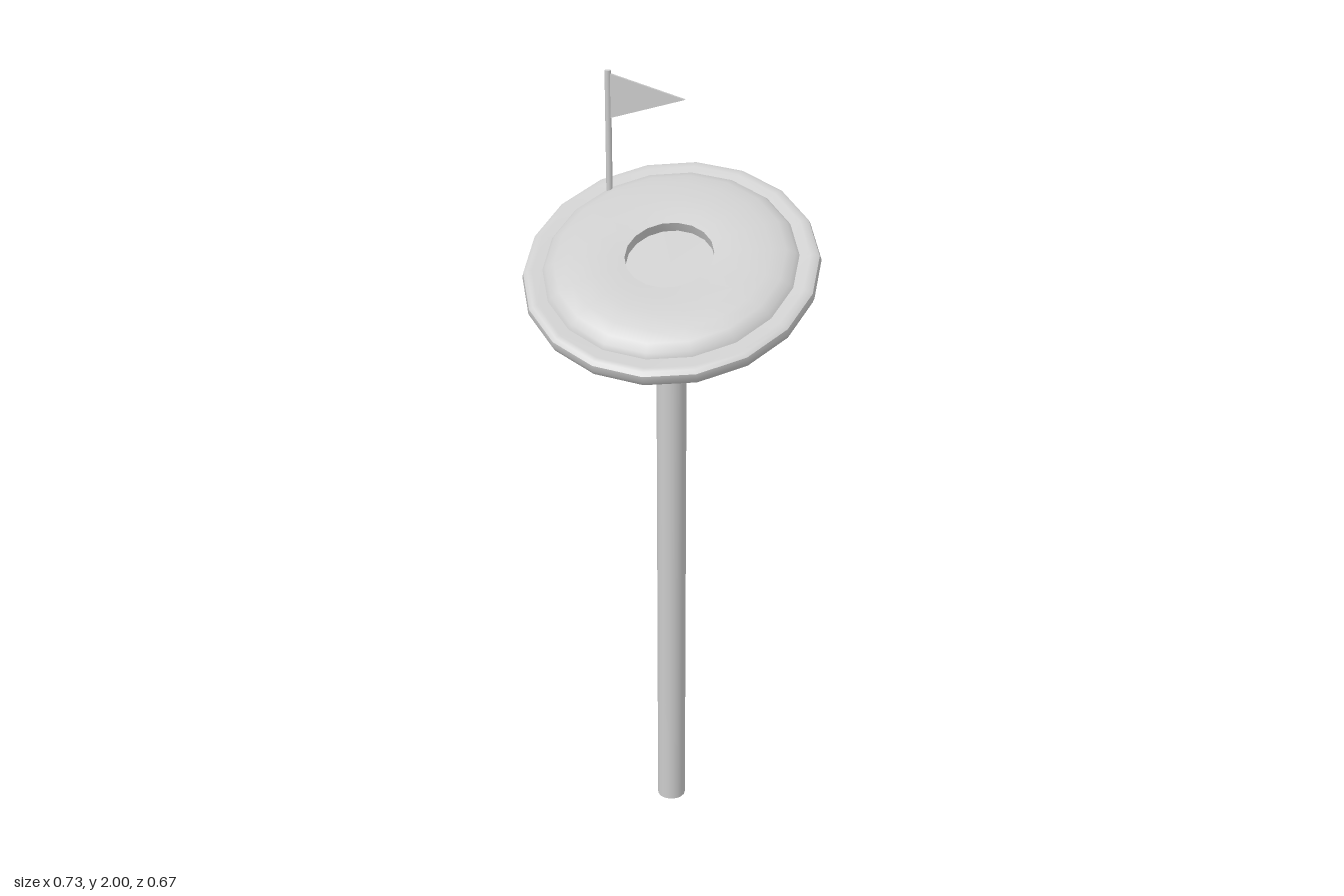
import * as THREE from 'three';
import { toCreasedNormals } from 'three/addons/utils/BufferGeometryUtils.js';

const SIDES = 18;
const TILT = 0.465;
const DISH_Y = 1.565;

// Skin through rings [y, z, radius, tilt], listed from bottom to top; radius 0 closes the end
function loft(rings, crease = 0.7) {
  const pos = [], index = [];
  rings.forEach(([y, z, r, tilt], j) => {
    for (let i = 0; i < SIDES; i++) {
      const a = (i / SIDES) * Math.PI * 2;
      const c = r * Math.cos(a);
      pos.push(r * Math.sin(a), y - c * Math.sin(tilt), z + c * Math.cos(tilt));
      if (j === 0) continue;
      const n = (i + 1) % SIDES;
      const lo = (j - 1) * SIDES, up = j * SIDES;
      if (rings[j - 1][2] > 0) index.push(lo + i, lo + n, up + i);
      if (r > 0) index.push(lo + n, up + n, up + i);
    }
  });
  const g = new THREE.BufferGeometry();
  g.setAttribute('position', new THREE.Float32BufferAttribute(pos, 3));
  g.setIndex(index);
  return toCreasedNormals(g, crease);
}

// Ring lying parallel to the tilted dish: radius, height along the dish axis
const dishRing = ([r, h]) => [DISH_Y + h * Math.cos(TILT), h * Math.sin(TILT), r, TILT];

export function createModel() {
  const group = new THREE.Group();
  const grey = new THREE.MeshStandardMaterial({ color: 0xcccccc, side: THREE.DoubleSide });
  const add = (name, geometry) => {
    const mesh = new THREE.Mesh(geometry, grey);
    mesh.name = name;
    group.add(mesh);
    return mesh;
  };

  // Round post
  add('post', new THREE.CylinderGeometry(0.038, 0.038, 1.32, SIDES)).position.set(0, 0.66, -0.006);

  // Flared bowl, level at the post and leaning forward at the rolled rim
  add('bowl', loft([
    [1.303, -0.006, 0.036, 0.05],
    [1.312, -0.006, 0.042, 0.1],
    [1.329, -0.005, 0.06, 0.2],
    [1.37, -0.005, 0.12, 0.29],
    ...[
      [0.352, -0.027], [0.364, -0.016], [0.369, 0], [0.365, 0.014],
      [0.355, 0.02], [0.342, 0.02], [0.3, 0.01], [0, 0.01],
    ].map(dishRing),
  ]));

  // Domed cushion with a round recess in the middle
  add('cushion', loft([
    [0.3, 0.01], [0.316, 0.021], [0.307, 0.032], [0.285, 0.042], [0.25, 0.049],
    [0.2, 0.053], [0.15, 0.052], [0.11, 0.048], [0.11, 0.021], [0, 0.021],
  ].map(dishRing)));

  // Flag on a thin pole at the back
  const flag = new THREE.Group();
  flag.name = 'flag';
  flag.position.set(-0.198, 0, -0.187);
  const pole = new THREE.Mesh(new THREE.CylinderGeometry(0.008, 0.008, 0.36, 10), grey);
  pole.name = 'flagPole';
  pole.position.y = 1.82;
  const shape = new THREE.Shape([
    new THREE.Vector2(0, 1.88), new THREE.Vector2(0.195, 1.937), new THREE.Vector2(0, 1.994),
  ]);
  const pennant = new THREE.Mesh(
    new THREE.ExtrudeGeometry(shape, { depth: 0.008, bevelEnabled: false }), grey);
  pennant.name = 'pennant';
  pennant.position.z = -0.004;
  flag.add(pole, pennant);
  group.add(flag);

  return group;
}
